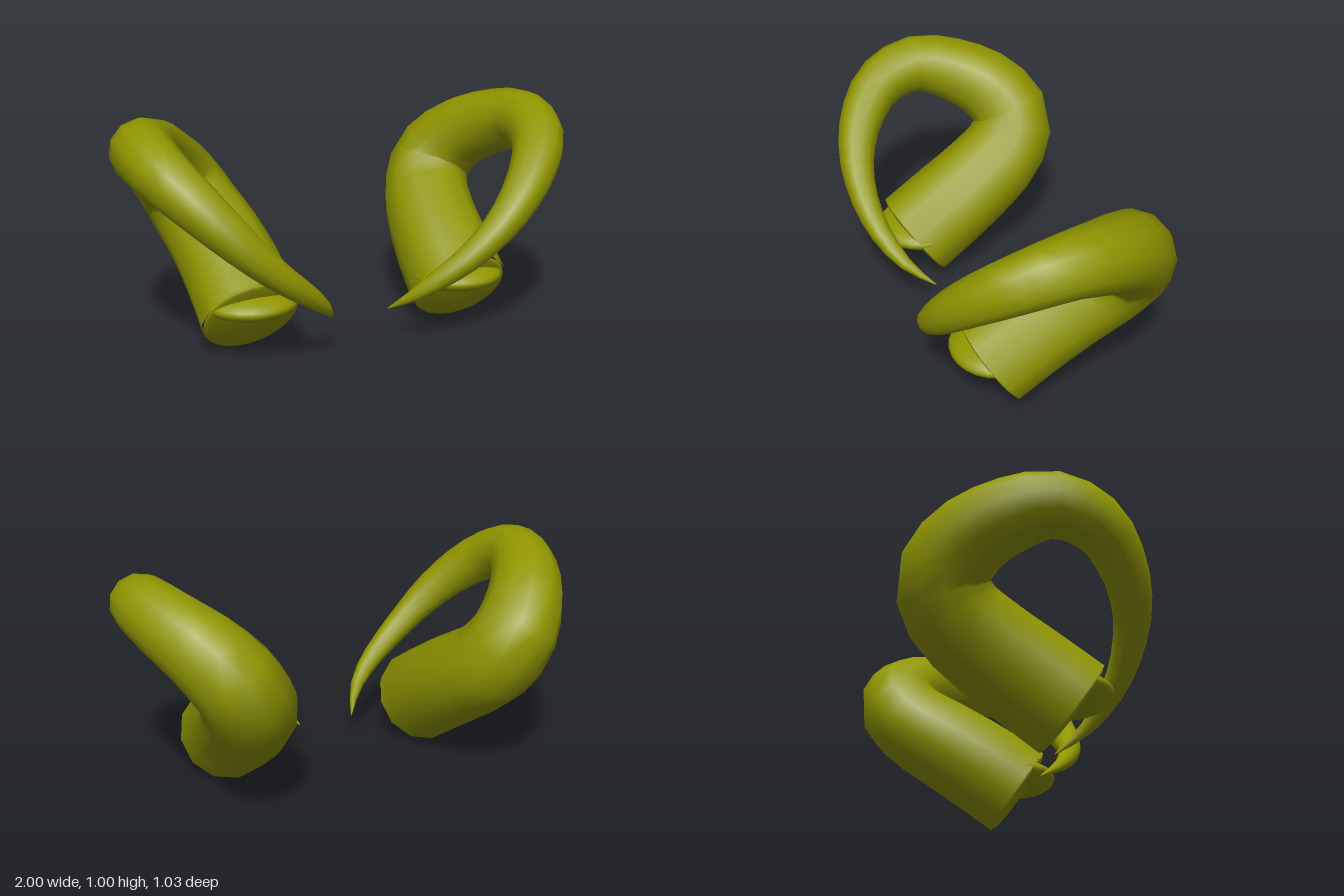
import * as THREE from 'three';

const RINGS = 30, SIDES = 12;

// Centre line and radius of one curled horn: x, y, z, r
const SPINE = [
  [0.485, 0.18, 0.21, 0.216],
  [0.495, 0.3, 0.03, 0.213],
  [0.52, 0.415, -0.15, 0.204],
  [0.56, 0.51, -0.28, 0.196],
  [0.62, 0.625, -0.338, 0.188],
  [0.71, 0.74, -0.28, 0.172],
  [0.815, 0.83, -0.12, 0.15],
  [0.87, 0.868, 0.06, 0.131],
  [0.84, 0.818, 0.24, 0.116],
  [0.74, 0.71, 0.365, 0.1],
  [0.63, 0.595, 0.43, 0.084],
  [0.53, 0.495, 0.449, 0.07],
  [0.41, 0.39, 0.44, 0.057],
  [0.29, 0.295, 0.4, 0.044],
  [0.2, 0.212, 0.335, 0.027],
  [0.13, 0.13, 0.23, 0.002],
];

// Radius at curve parameter t, linear between spine points
function radiusAt(t) {
  const f = t * (SPINE.length - 1);
  const i = Math.min(Math.floor(f), SPINE.length - 2);
  return THREE.MathUtils.lerp(SPINE[i][3], SPINE[i + 1][3], f - i);
}

function makeHorn(side, material) {
  const horn = new THREE.Group();
  const curve = new THREE.CatmullRomCurve3(
    SPINE.map(([x, y, z]) => new THREE.Vector3(side * x, y, z)));
  const add = (name, geometry) => {
    const mesh = new THREE.Mesh(geometry, material);
    mesh.name = name;
    horn.add(mesh);
    return mesh;
  };

  // Curled body: a unit tube whose rings shrink toward the tip
  const tube = new THREE.TubeGeometry(curve, RINGS, 1, SIDES);
  const pos = tube.attributes.position;
  const v = new THREE.Vector3();
  for (let i = 0; i <= RINGS; i++) {
    const centre = curve.getPointAt(i / RINGS);
    const r = radiusAt(curve.getUtoTmapping(i / RINGS));
    for (let j = 0; j <= SIDES; j++) {
      const k = i * (SIDES + 1) + j;
      v.fromBufferAttribute(pos, k).sub(centre).multiplyScalar(r).add(centre);
      pos.setXYZ(k, v.x, v.y, v.z);
    }
  }
  add('hornBody', tube);

  // Shallow domed end closing the thick base, just inside its rim
  const cap = add('hornBase',
    new THREE.SphereGeometry(0.208, SIDES * 2, 4, 0, Math.PI * 2, 0, Math.PI / 2));
  cap.scale.y = 0.1;
  cap.position.copy(curve.getPoint(0));
  cap.quaternion.setFromUnitVectors(
    new THREE.Vector3(0, 1, 0), curve.getTangent(0).negate());

  // Flattened pad set into the base
  const pad = add('basePad', new THREE.SphereGeometry(1, 24, 16));
  pad.scale.set(0.2, 0.062, 0.18);
  pad.position.set(side * 0.48, 0.238, 0.2);
  return horn;
}

export function createModel() {
  const model = new THREE.Group();
  model.name = 'curledHorns';
  const material = new THREE.MeshStandardMaterial({ color: 0x909600 });
  for (const side of [1, -1]) {
    const horn = makeHorn(side, material);
    horn.name = side > 0 ? 'leftHorn' : 'rightHorn';
    model.add(horn);
  }
  return model;
}
